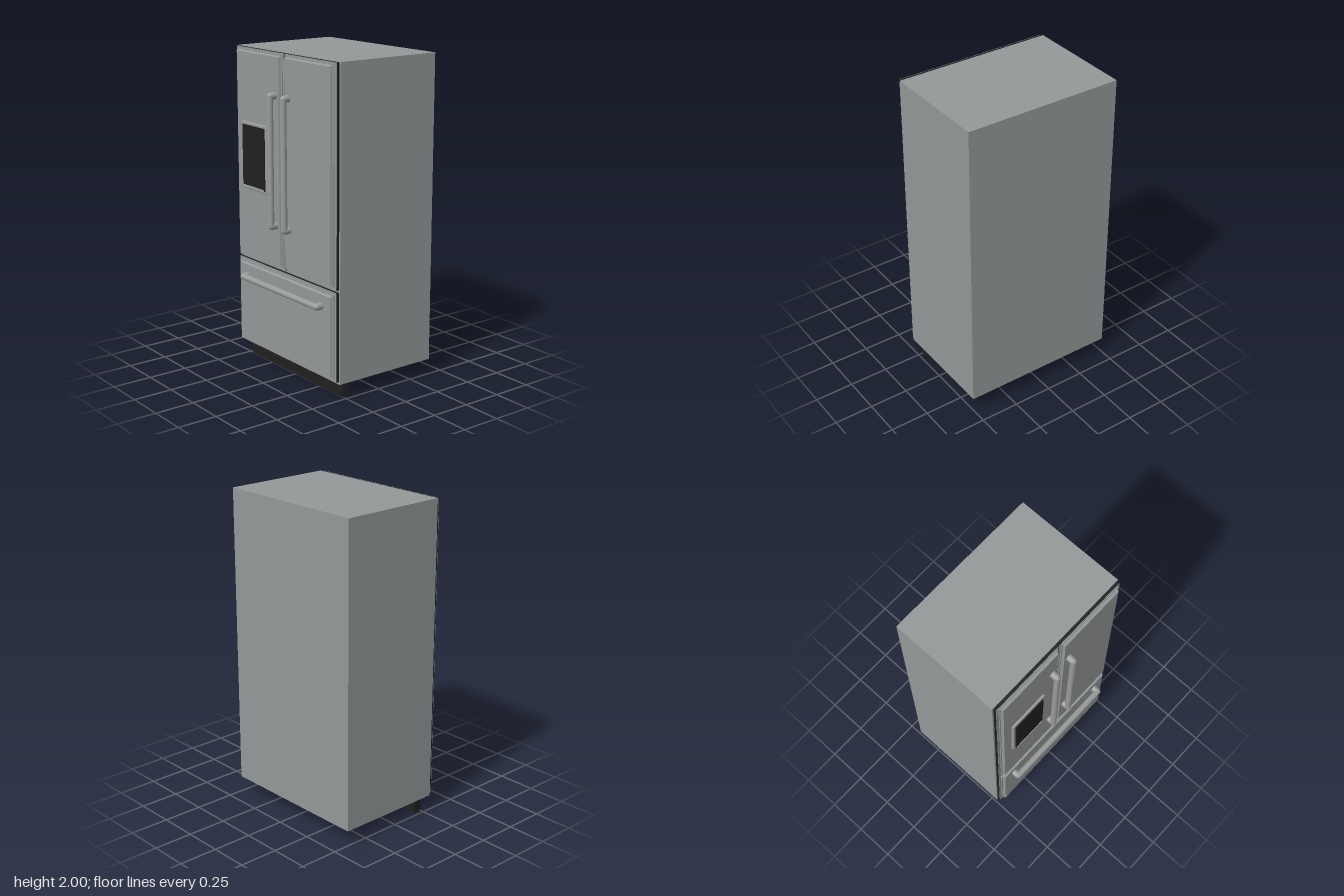
import * as THREE from 'three';

const mat = (name, color) => new THREE.MeshStandardMaterial({ name, color });

export function createModel() {
  const root = new THREE.Group();
  root.name = 'refrigerator';
  const steel = mat('steel', 0x949898);
  const black = mat('black', 0x202020);
  const metal = mat('handle metal', 0x999b9b);

  const add = (name, geo, material, parent = root) => {
    const m = new THREE.Mesh(geo, material);
    m.name = name;
    parent.add(m);
    return m;
  };
  // Box given by its limits on each axis
  const box = (name, x0, x1, y0, y1, z0, z1, material, parent) => {
    const m = add(name, new THREE.BoxGeometry(x1 - x0, y1 - y0, z1 - z0), material, parent);
    m.position.set((x0 + x1) / 2, (y0 + y1) / 2, (z0 + z1) / 2);
    return m;
  };

  // Cabinet and toe kick
  box('cabinet', -0.505, 0.505, 0.1, 2, -0.4, 0.3, steel);
  box('toeKick', -0.47, 0.47, 0, 0.1, 0.2, 0.255, black);

  // Door: black seal with steel face, then a raised panel with bevelled rim
  const door = (name, x0, x1, y0, y1, px0, px1, py0, py1) => {
    const g = new THREE.Group();
    g.name = name;
    root.add(g);
    box('seal', x0, x1, y0, y1, 0.3, 0.318, black, g);
    box('doorFace', x0, x1, y0, y1, 0.318, 0.321, steel, g);
    box('panelRim', px0, px1, py0, py1, 0.321, 0.327, steel, g);
    const raised = box('raisedPanel', px0, px1, py0, py1, 0.327, 0.343, steel, g);
    // Pull the front corners in to slope the edges
    const p = raised.geometry.attributes.position;
    for (let i = 0; i < p.count; i++) {
      const inset = p.getZ(i) > 0 ? 0.015 : 0.008;
      p.setX(i, p.getX(i) - Math.sign(p.getX(i)) * inset);
      p.setY(i, p.getY(i) - Math.sign(p.getY(i)) * inset);
    }
    raised.geometry = raised.geometry.toNonIndexed();
    raised.geometry.computeVertexNormals();
  };
  door('rightDoor', -0.495, -0.004, 0.68, 1.997, -0.478, -0.015, 0.695, 1.988);
  door('leftDoor', 0.004, 0.495, 0.68, 1.997, 0.015, 0.478, 0.695, 1.988);
  door('freezerDrawer', -0.495, 0.495, 0.115, 0.665, -0.478, 0.478, 0.13, 0.65);

  // Bar handle along local y, held by two round-ended posts
  const handle = (name, length) => {
    const g = new THREE.Group();
    g.name = name;
    const bar = add('bar', new THREE.CylinderGeometry(0.019, 0.019, length, 24), metal, g);
    bar.position.z = 0.379;
    const profile = [new THREE.Vector2(0.022, 0), new THREE.Vector2(0.022, 0.034)];
    for (let i = 0; i <= 6; i++) {
      const a = (i / 6) * Math.PI / 2;
      profile.push(new THREE.Vector2(0.02 * Math.cos(a), 0.036 + 0.022 * Math.sin(a)));
    }
    for (const s of [-1, 1]) {
      const post = add('post', new THREE.LatheGeometry(profile, 24), metal, g);
      post.rotation.x = Math.PI / 2;
      post.position.set(0, s * length / 2, 0.34);
    }
    root.add(g);
    return g;
  };
  for (const s of [-1, 1]) {
    handle(s < 0 ? 'rightDoorHandle' : 'leftDoorHandle', 0.79).position.set(s * 0.067, 1.35, 0);
  }
  const drawerHandle = handle('drawerHandle', 0.76);
  drawerHandle.rotation.z = Math.PI / 2;
  drawerHandle.position.y = 0.565;

  // Water dispenser: bevelled frame, dark panel and drip sill
  const rect = (T, x0, x1, y0, y1) => {
    const s = new T();
    s.moveTo(x0, y0);
    s.lineTo(x1, y0);
    s.lineTo(x1, y1);
    s.lineTo(x0, y1);
    s.closePath();
    return s;
  };
  const frame = rect(THREE.Shape, -0.398, -0.142, 1.137, 1.548);
  frame.holes.push(rect(THREE.Path, -0.382, -0.158, 1.153, 1.532));
  const frameMesh = add('dispenserFrame', new THREE.ExtrudeGeometry(frame, {
    depth: 0.01, bevelEnabled: true, bevelSize: 0.004, bevelThickness: 0.004, bevelSegments: 1,
  }), metal);
  frameMesh.position.z = 0.343;
  box('dispenserPanel', -0.384, -0.156, 1.15, 1.534, 0.34, 0.364, black);
  box('dispenserSill', -0.38, -0.16, 1.147, 1.16, 0.343, 0.368, metal);

  return root;
}
